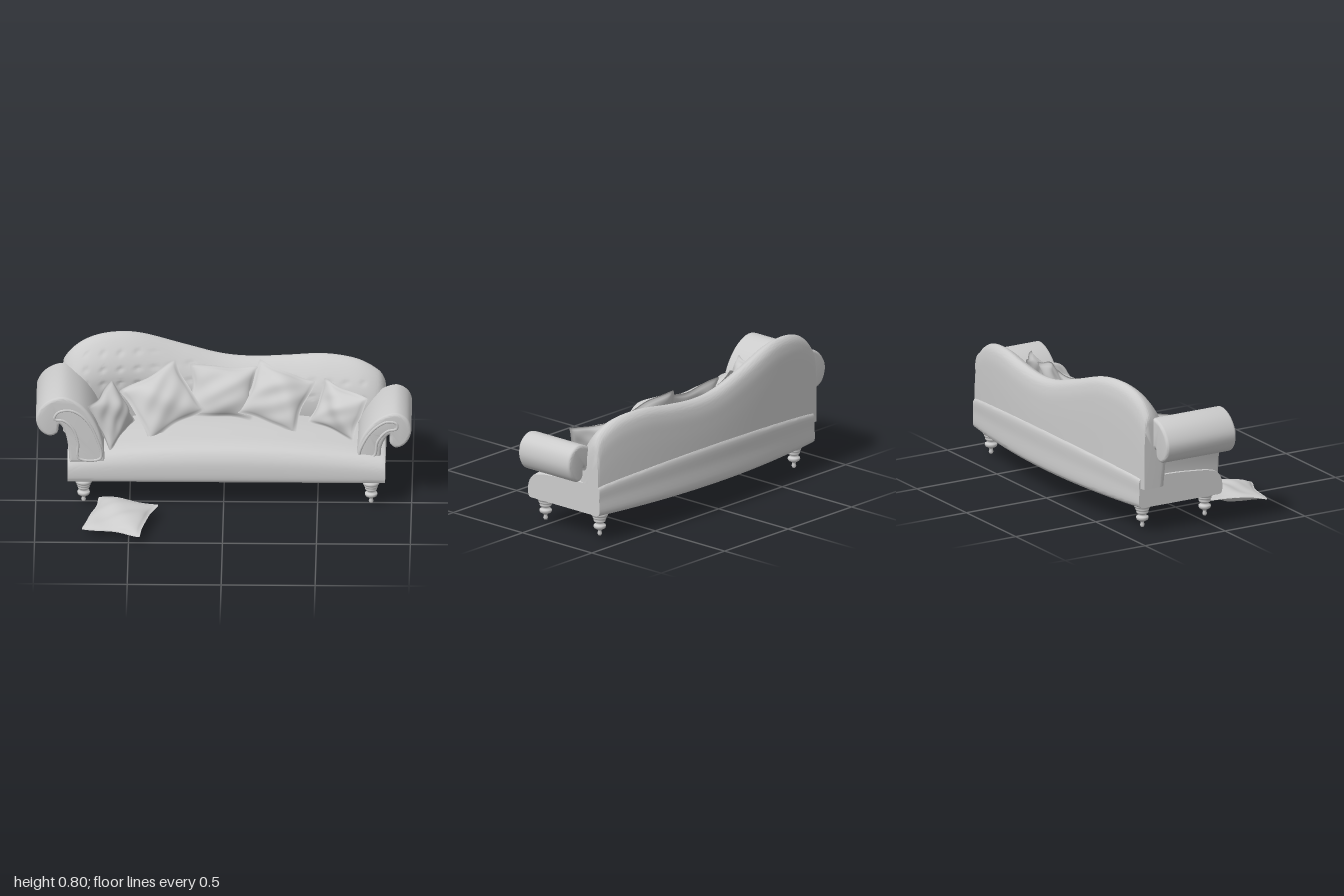
import * as THREE from 'three';
import { mergeGeometries, mergeVertices, toCreasedNormals } from 'three/addons/utils/BufferGeometryUtils.js';

const material = new THREE.MeshStandardMaterial({ color: 0xcccccc });
const softMaterial = new THREE.MeshStandardMaterial({ color: 0xcccccc, side: THREE.DoubleSide });

function add(parent, name, geometry, mat = material) {
  const mesh = new THREE.Mesh(geometry, mat);
  mesh.name = name;
  parent.add(mesh);
  return mesh;
}

// Skin over closed cross-sections that run along x, with both ends capped
function loft(sections, crease = 0.7) {
  const n = sections[0].length, pos = [], index = [];
  sections.forEach(s => s.forEach(p => pos.push(p.x, p.y, p.z)));
  for (let i = 0; i < sections.length - 1; i++) {
    for (let j = 0; j < n; j++) {
      const a = i * n + j, d = i * n + (j + 1) % n;
      index.push(a, a + n, d + n, a, d + n, d);
    }
  }
  for (const i of [0, sections.length - 1]) {
    const c = new THREE.Vector3();
    sections[i].forEach(p => c.addScaledVector(p, 1 / n));
    const ci = pos.length / 3;
    pos.push(c.x, c.y, c.z);
    for (let j = 0; j < n; j++) {
      const a = i * n + j, b = i * n + (j + 1) % n;
      if (i === 0) index.push(ci, a, b); else index.push(ci, b, a);
    }
  }
  const g = new THREE.BufferGeometry();
  g.setAttribute('position', new THREE.Float32BufferAttribute(pos, 3));
  g.setIndex(index);
  return toCreasedNormals(g, crease);
}

// Smooth section through [z, y] points at a given x
function section(x, pts, count) {
  return new THREE.CatmullRomCurve3(pts.map(([z, y]) => new THREE.Vector3(x, y, z)), false, 'centripetal').getPoints(count);
}

// The rear of the sofa bows outwards in the middle
const rearZ = x => -0.51 + 0.085 * (x / 0.86) ** 2;

// Upholstered base with a domed seat
function baseGeometry() {
  const sections = [];
  for (let i = 0; i <= 48; i++) {
    const u = Math.sin((i / 48 - 0.5) * Math.PI);
    const x = 0.015 + 0.845 * u, r = rearZ(x);
    const k = 0.96 + 0.34 * (1 - u * u) + 0.04 * Math.sqrt(1 - u ** 20);
    const pts = [[0.07, 0.14], [0.084, 0.15], [0.088, 0.2], [0.078, 0.24], [0.05, 0.273], [0, 0.29],
      [-0.1, 0.302], [-0.2, 0.31], [-0.3, 0.312], [r + 0.02, 0.312], [r + 0.002, 0.3], [r, 0.23], [r, 0.155], [r + 0.015, 0.14]];
    sections.push(section(x, pts.map(([z, y]) => [z, 0.14 + (y - 0.14) * k]), 64));
  }
  return loft(sections);
}

// Serpentine back, leaning and thinning towards its rolled top, with a tufted front
function backGeometry() {
  const crest = new THREE.SplineCurve([[-0.86, 0.6], [-0.85, 0.655], [-0.79, 0.725], [-0.7, 0.772], [-0.58, 0.79], [-0.44, 0.775],
    [-0.22, 0.705], [-0.02, 0.648], [0.15, 0.633], [0.33, 0.645], [0.53, 0.665], [0.7, 0.648], [0.81, 0.595], [0.85, 0.54], [0.86, 0.48]]
    .map(p => new THREE.Vector2(...p)));
  const sections = [];
  for (let i = 0; i <= 140; i++) {
    const { x, y: h } = crest.getPoint(i / 140);
    const u = Math.min(1, Math.abs(x) / 0.86);
    const f = 0.55 + 0.45 * Math.sqrt(1 - u ** 14);
    const r = rearZ(x) + 0.008;
    const low = Math.max(0.3, h - 0.25);
    const pts = [[0.17, 0.25], [0.19, low], [0.185, h - 0.18], [0.16, h - 0.11], [0.11, h - 0.04], [0.075, h - 0.01], [0.045, h],
      [0.02, h - 0.02], [0.006, h - 0.065], [0, h - 0.16], [0, 0.25]].map(([d, y]) => [r + d * f, y]);
    const loop = section(x, pts, 72);
    // Diagonal rows of button dimples
    const fade = Math.max(0, 1 - u ** 8);
    loop.forEach(p => {
      if (p.z < r + 0.085 || p.y < 0.42 || p.y > h - 0.05) return;
      const a = p.x * 34, b = p.y * 40;
      p.z -= 0.009 * fade * (Math.max(0, Math.cos(a + b) * Math.cos(a - b)) ** 4);
    });
    sections.push(loop);
  }
  return loft(sections, 0.9);
}

// Scroll arm: outline pulled along z, with piping round its front panel
function scrollArm(parent, name, outline, panel, z0, z1) {
  const arm = new THREE.Group();
  arm.name = name;
  const curve = new THREE.CatmullRomCurve3(outline.map(p => new THREE.Vector3(p[0], p[1], 0)), false, 'centripetal');
  const shape = new THREE.Shape(curve.getPoints(70).map(p => new THREE.Vector2(p.x, p.y)));
  const bevel = 0.016;
  const body = new THREE.ExtrudeGeometry(shape, { depth: z1 - z0 - 2 * bevel, bevelSize: bevel, bevelThickness: bevel,
    bevelOffset: -bevel, bevelSegments: 4, steps: 1 });
  body.translate(0, 0, z0 + bevel);
  add(arm, 'armScroll', toCreasedNormals(body, 0.7));
  const path = new THREE.CatmullRomCurve3(panel.map(p => new THREE.Vector3(p[0], p[1], z1 - 0.002)), true, 'centripetal');
  add(arm, 'armPiping', new THREE.TubeGeometry(path, 80, 0.008, 8, true));
  parent.add(arm);
}

// Soft cushion: two puffed sheets with drawn-in sides, a thin flange and gentle creases
function cushionGeometry(w, h, t, seed) {
  const side = s => {
    const g = new THREE.PlaneGeometry(2, 2, 36, 36);
    const p = g.attributes.position;
    for (let i = 0; i < p.count; i++) {
      const u = p.getX(i) * s, v = p.getY(i);
      const a = Math.max(0, 1 - (u * 1.07) ** 2), b = Math.max(0, 1 - (v * 1.07) ** 2);
      const puff = (a * b) ** 0.6;
      const crease = 1 + 0.12 * Math.sin(4 * u + 3 * v + seed) + 0.08 * Math.sin(7 * v - 5 * u + seed * 2);
      const droop = 0.012 * Math.sin(3 * u + seed) * Math.cos(2.5 * v - seed);
      const corner = 1 - 0.05 * (u * v) ** 8;
      p.setXYZ(i, w / 2 * u * corner * (1 - 0.12 * (1 - v * v) + 0.02 * Math.sin(5 * v + seed)),
        h / 2 * v * corner * (1 - 0.12 * (1 - u * u) + 0.02 * Math.sin(5 * u - seed)),
        s * (t / 2 * puff * crease + 0.002) + droop);
    }
    g.computeVertexNormals();
    if (s < 0) g.deleteAttribute('uv'); else g.deleteAttribute('uv');
    return g;
  };
  return mergeGeometries([side(1), side(-1)]);
}

// Turned leg ending in a small ball
function legGeometry() {
  const profile = [[0, 0.004], [0.009, 0.007], [0.013, 0.018], [0.009, 0.03], [0.012, 0.038], [0.03, 0.048], [0.034, 0.058], [0.032, 0.066],
    [0.021, 0.07], [0.021, 0.08], [0.03, 0.084], [0.033, 0.092], [0.028, 0.098], [0.036, 0.102], [0.038, 0.109], [0.034, 0.114],
    [0.043, 0.118], [0.046, 0.126], [0.043, 0.134], [0.036, 0.138], [0.036, 0.15]];
  return new THREE.LatheGeometry(profile.map(p => new THREE.Vector2(...p)), 24);
}

export function createModel() {
  const sofa = new THREE.Group();
  sofa.name = 'sofa';
  add(sofa, 'seatBase', baseGeometry());
  add(sofa, 'backrest', backGeometry());

  scrollArm(sofa, 'rightArm',
    [[-0.63, 0.255], [-0.65, 0.4], [-0.7, 0.52], [-0.77, 0.6], [-0.86, 0.637], [-0.95, 0.6], [-0.998, 0.52], [-0.977, 0.44],
      [-0.925, 0.408], [-0.885, 0.425], [-0.872, 0.475], [-0.845, 0.43], [-0.826, 0.34], [-0.82, 0.255]],
    [[-0.655, 0.28], [-0.68, 0.41], [-0.735, 0.51], [-0.81, 0.56], [-0.88, 0.55], [-0.9, 0.51], [-0.85, 0.5], [-0.8, 0.45], [-0.775, 0.37], [-0.77, 0.28]],
    -0.36, 0.075);
  scrollArm(sofa, 'leftArm',
    [[0.7, 0.265], [0.73, 0.38], [0.79, 0.47], [0.86, 0.52], [0.925, 0.533], [0.982, 0.495], [0.998, 0.42], [0.965, 0.35],
      [0.915, 0.33], [0.885, 0.355], [0.882, 0.405], [0.86, 0.38], [0.84, 0.33], [0.835, 0.265]],
    [[0.725, 0.285], [0.755, 0.38], [0.81, 0.45], [0.87, 0.485], [0.92, 0.475], [0.92, 0.445], [0.87, 0.43], [0.82, 0.37], [0.8, 0.285]],
    -0.335, 0.035);

  const leg = legGeometry();
  for (const x of [-0.745, 0.785]) {
    for (const z of [0.03, -0.36]) add(sofa, z > 0 ? 'frontLeg' : 'rearLeg', leg).position.set(x, 0, z);
  }

  // Cushions: name, width, height, thickness, position, turn [x, y, z]
  const cushions = [
    ['armCushion', 0.31, 0.28, 0.11, [-0.6, 0.455, -0.1], [-0.45, 1.05, 0.15]],
    ['tiltedCushion', 0.36, 0.33, 0.12, [-0.33, 0.49, -0.2], [-0.6, 0.15, 0.45]],
    ['middleCushion', 0.37, 0.3, 0.1, [-0.01, 0.51, -0.27], [-0.45, 0, -0.05]],
    ['sideCushion', 0.34, 0.32, 0.12, [0.28, 0.5, -0.23], [-0.5, -0.15, -0.3]],
    ['endCushion', 0.31, 0.26, 0.1, [0.61, 0.45, -0.18], [-0.4, -0.6, -0.12]],
    ['floorCushion', 0.34, 0.36, 0.075, [-0.55, 0.048, 0.3], [-Math.PI / 2 + 0.1, -0.27, 0]],
  ];
  cushions.forEach(([name, w, h, t, at, turn], i) => {
    const c = add(sofa, name, cushionGeometry(w, h, t, i * 1.7), softMaterial);
    c.position.set(...at);
    c.rotation.set(turn[0], turn[1], turn[2], 'YXZ');
  });
  return sofa;
}
